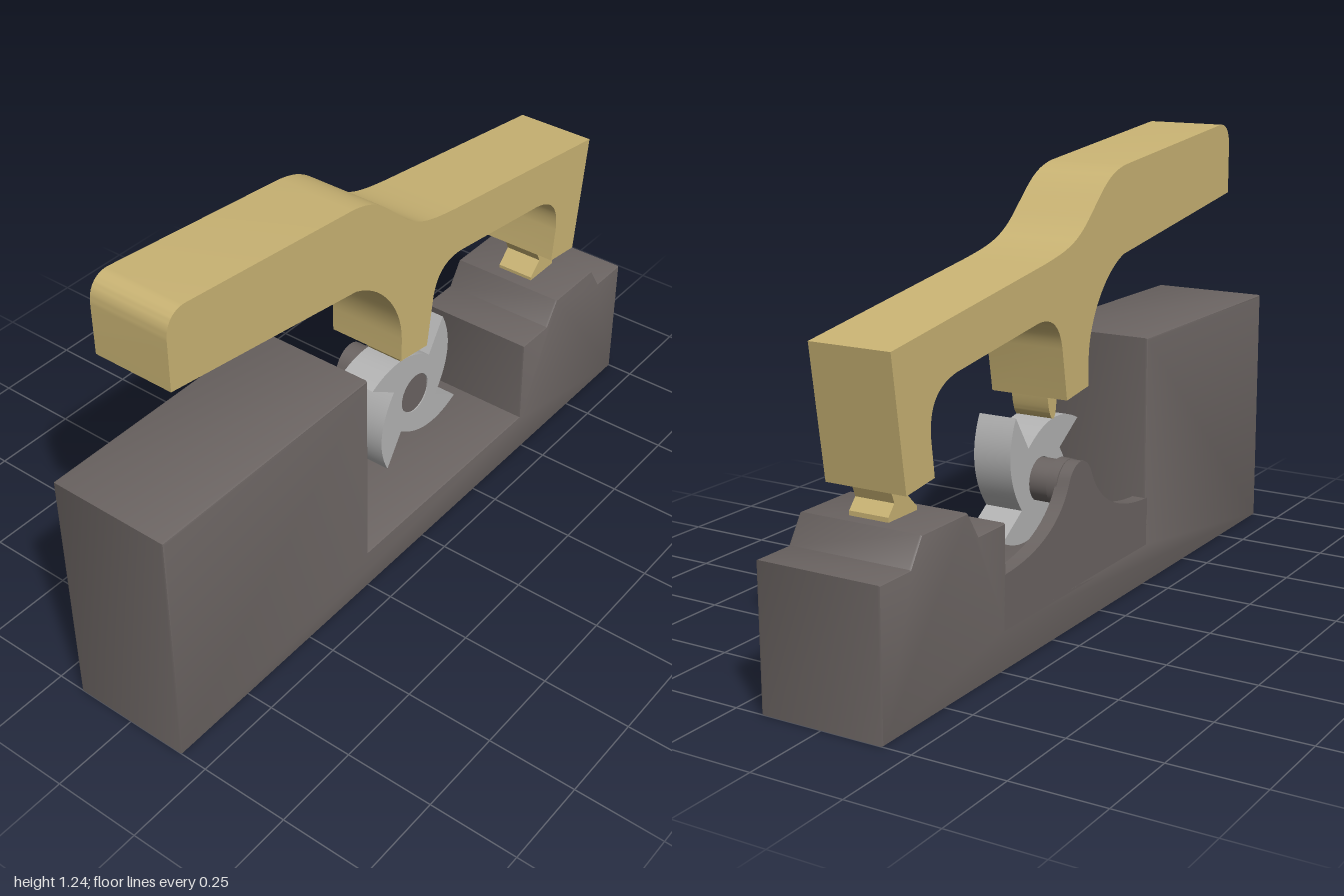
import * as THREE from 'three';
import { toCreasedNormals } from 'three/addons/utils/BufferGeometryUtils.js';

const dark = new THREE.MeshStandardMaterial({ color: 0x6b6462 });
const tan = new THREE.MeshStandardMaterial({ color: 0xcab474 });
const steel = new THREE.MeshStandardMaterial({ color: 0xb4b4b4 });

const polygon = (pts) => new THREE.Shape(pts.map(([x, y]) => new THREE.Vector2(x, y)));

// Extrudes a side profile between z0 and z1, with an optional small edge bevel
function slab(name, shape, z0, z1, material, bevel = 0) {
  const g = new THREE.ExtrudeGeometry(shape, {
    depth: z1 - z0 - 2 * bevel, curveSegments: 14,
    bevelEnabled: bevel > 0, bevelThickness: bevel, bevelSize: bevel, bevelOffset: -bevel, bevelSegments: 2,
  });
  g.translate(0, 0, z0 + bevel);
  const mesh = new THREE.Mesh(toCreasedNormals(g, 0.55), material);
  mesh.name = name;
  return mesh;
}

// Round bar along z
function bar(name, r, z0, z1, x, y, material) {
  const g = new THREE.CylinderGeometry(r, r, z1 - z0, 40).rotateX(Math.PI / 2);
  const mesh = new THREE.Mesh(g, material);
  mesh.name = name;
  mesh.position.set(x, y, (z0 + z1) / 2);
  return mesh;
}

function createBase() {
  const base = new THREE.Group();
  base.name = 'base';
  const body = polygon([
    [-1, 0], [1, 0], [1, 0.38], [0.88, 0.38], [0.835, 0.45], [0.645, 0.45], [0.6, 0.38],
    [0.48, 0.38], [0.48, 0.12], [-0.25, 0.12], [-0.25, 0.705], [-1, 0.705],
  ]);
  base.add(slab('baseBody', body, -0.175, 0.175, dark, 0.007));

  // Rear wall sweeping up to a rounded bearing boss
  const wall = new THREE.Shape();
  wall.moveTo(-0.26, 0.105);
  wall.lineTo(0.49, 0.105);
  wall.lineTo(0.49, 0.25);
  wall.bezierCurveTo(0.34, 0.255, 0.22, 0.3, 0.175, 0.4);
  wall.bezierCurveTo(0.15, 0.462, 0.08, 0.462, 0.055, 0.4);
  wall.bezierCurveTo(0.01, 0.3, -0.11, 0.255, -0.26, 0.25);
  base.add(slab('rearWall', wall, -0.175, -0.135, dark));
  return base;
}

function createWheel() {
  const wheel = new THREE.Group();
  wheel.name = 'ratchetWheel';
  const start = THREE.MathUtils.degToRad(57);
  const at = (r, a) => [r * Math.cos(a), r * Math.sin(a)];
  const s = new THREE.Shape();
  s.moveTo(...at(0.228, start));
  // Four hooked teeth: radial face, then a curved back up to the next tip
  for (let i = 0; i < 4; i++) {
    const a = start + i * Math.PI / 2;
    s.lineTo(...at(0.115, a));
    s.quadraticCurveTo(...at(0.201, a + 0.884), ...at(0.228, a + Math.PI / 2));
  }
  const hole = new THREE.Path();
  hole.absarc(0, 0, 0.06, 0, Math.PI * 2, true);
  s.holes.push(hole);
  wheel.add(slab('toothedDisc', s, -0.055, 0.055, steel));
  wheel.add(bar('axle', 0.058, -0.14, 0.053, 0, 0, dark));
  wheel.add(bar('axleCollar', 0.066, -0.14, -0.11, 0, 0, dark));
  wheel.position.set(0.115, 0.382, 0);
  return wheel;
}

function createLever() {
  const lever = new THREE.Group();
  lever.name = 'lever';
  const s = new THREE.Shape();
  s.moveTo(-0.875, 1.032);
  // Underside of the handle and the middle post
  s.lineTo(-0.22, 0.937);
  s.bezierCurveTo(-0.11, 0.9, -0.03, 0.78, -0.03, 0.68);
  s.lineTo(-0.03, 0.61);
  s.lineTo(0.083, 0.594);
  s.lineTo(0.107, 0.735);
  s.bezierCurveTo(0.12, 0.8, 0.16, 0.83, 0.23, 0.823);
  // Underside of the rear span and the hinge post
  s.lineTo(0.6, 0.772);
  s.bezierCurveTo(0.68, 0.755, 0.712, 0.715, 0.708, 0.64);
  s.lineTo(0.695, 0.54);
  s.lineTo(0.81, 0.525);
  s.lineTo(0.86, 0.87);
  // Top edge
  s.lineTo(0.2, 0.968);
  s.bezierCurveTo(0.08, 0.988, 0.03, 1.0, -0.04, 1.066);
  s.bezierCurveTo(-0.11, 1.13, -0.14, 1.165, -0.23, 1.178);
  s.lineTo(-0.81, 1.237);
  s.bezierCurveTo(-0.845, 1.24, -0.875, 1.22, -0.875, 1.17);
  s.closePath();
  lever.add(slab('leverArm', s, -0.115, 0.115, tan));

  const pawl = new THREE.Shape();
  pawl.moveTo(0.035, 0.615);
  pawl.quadraticCurveTo(0.033, 0.535, 0.052, 0.53);
  pawl.quadraticCurveTo(0.075, 0.535, 0.083, 0.61);
  lever.add(slab('pawl', pawl, -0.055, 0.055, tan));

  const neck = polygon([
    [0.705, 0.545], [0.726, 0.5], [0.685, 0.46], [0.685, 0.44],
    [0.8, 0.44], [0.8, 0.462], [0.775, 0.49], [0.793, 0.535],
  ]);
  lever.add(slab('flexNeck', neck, -0.056, 0.056, tan));

  // Tapered square rim under the handle
  const profile = [[0.6, 0.01], [0.75, -0.03], [0.87, -0.03], [1, 0.01]]
    .map(([x, y]) => new THREE.Vector2(x * Math.SQRT2, y));
  const rimGeo = new THREE.LatheGeometry(profile, 4, Math.PI / 4).toNonIndexed();
  rimGeo.scale(0.125, 1, 0.07);
  rimGeo.computeVertexNormals();
  const rim = new THREE.Mesh(rimGeo, tan.clone());
  rim.material.side = THREE.DoubleSide;
  rim.name = 'gripRim';
  rim.position.set(-0.71, 1.007, 0);
  rim.rotation.z = -0.144;
  lever.add(rim);
  return lever;
}

export function createModel() {
  const model = new THREE.Group();
  model.name = 'ratchetMechanism';
  model.add(createBase(), createWheel(), createLever());
  return model;
}
